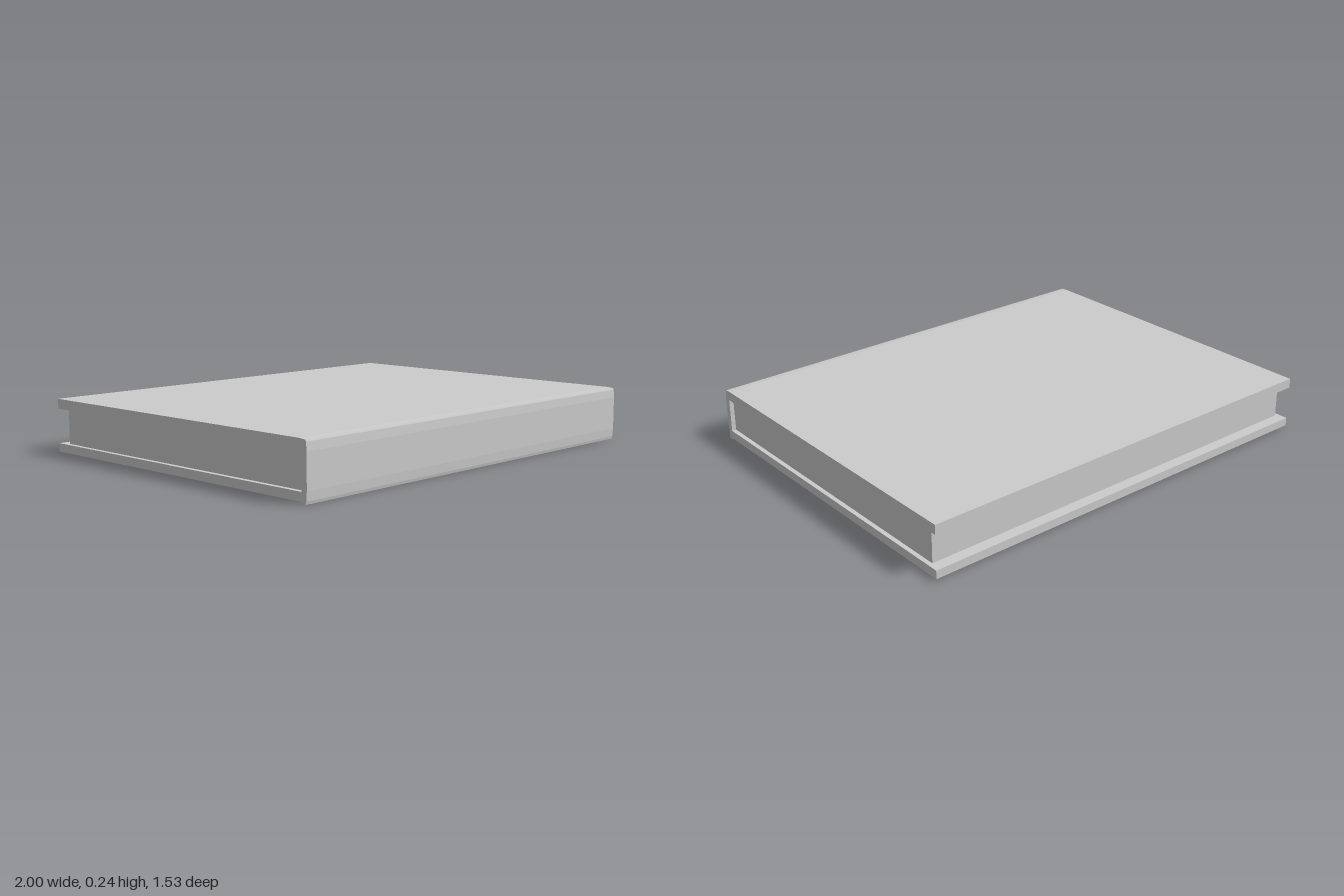
import * as THREE from 'three';

const material = new THREE.MeshStandardMaterial({ color: 0xcccccc, flatShading: true });

// Closed [z, y] profile extruded across the width
function slab(name, points, width) {
  const shape = new THREE.Shape(points.map(([z, y]) => new THREE.Vector2(z, y)));
  const geometry = new THREE.ExtrudeGeometry(shape, { depth: width, bevelEnabled: false });
  geometry.translate(0, 0, -width / 2);
  geometry.rotateY(-Math.PI / 2);
  const mesh = new THREE.Mesh(geometry, material);
  mesh.name = name;
  return mesh;
}

export function createModel() {
  const book = new THREE.Group();
  book.name = 'book';

  // Hard cover: one C-shaped wrap with a slightly rounded spine
  book.add(slab('cover', [
    [-0.767, 0.008], [0.73, 0.008], [0.742, 0.002], [0.761, 0], [0.764, 0.012],
    [0.767, 0.05], [0.767, 0.195], [0.764, 0.23], [0.761, 0.237], [0.73, 0.24],
    [-0.767, 0.24], [-0.767, 0.197], [0.74, 0.197], [0.74, 0.045], [-0.767, 0.045],
  ], 2));

  // Page block, set in from the cover on three sides
  const pages = new THREE.Mesh(new THREE.BoxGeometry(1.96, 0.152, 1.457), material);
  pages.name = 'pages';
  pages.position.set(0, 0.121, 0.0115);
  book.add(pages);

  return book;
}
